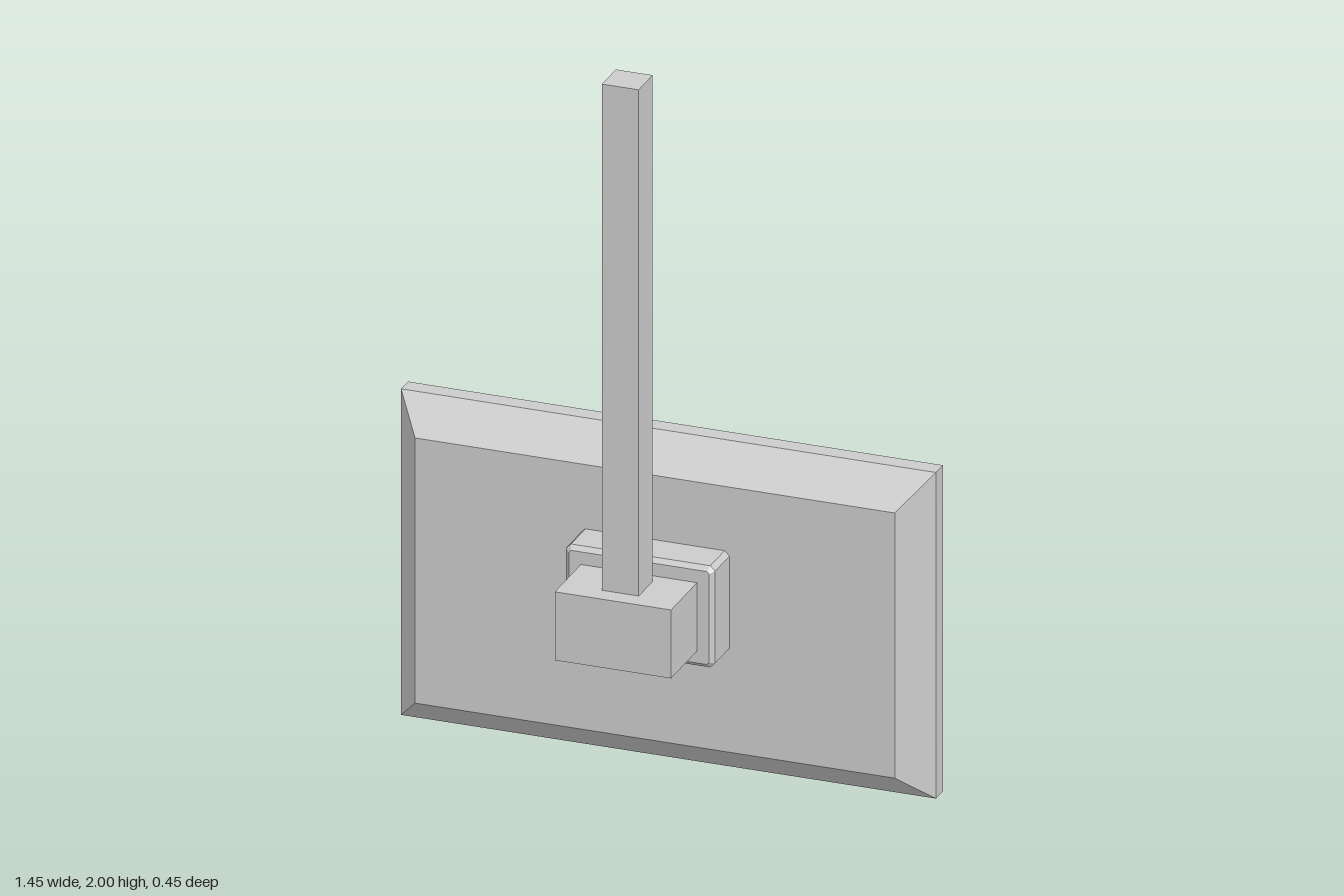
import * as THREE from 'three';

const grey = () => new THREE.MeshStandardMaterial({ color: 0xcccccc, flatShading: true });

function add(group, name, geometry, material, x, y, z) {
  const mesh = new THREE.Mesh(geometry, material);
  mesh.name = name;
  mesh.position.set(x, y, z);
  group.add(mesh);
  return mesh;
}

// Skin of flat quads through rectangular rings [halfWidth, halfHeight, z]; the first ring is capped
function rectLoft(rings) {
  const corners = [[-1, -1], [1, -1], [1, 1], [-1, 1]];
  const pts = rings.map(([w, h, z]) => corners.map(([sx, sy]) => [sx * w, sy * h, z]));
  const pos = [];
  const quad = (a, b, c, d) => pos.push(...a, ...b, ...c, ...a, ...c, ...d);
  quad(...pts[0]);
  for (let k = 0; k < pts.length - 1; k++) {
    for (let i = 0; i < 4; i++) {
      const j = (i + 1) % 4;
      quad(pts[k][i], pts[k + 1][i], pts[k + 1][j], pts[k][j]);
    }
  }
  const geo = new THREE.BufferGeometry();
  geo.setAttribute('position', new THREE.Float32BufferAttribute(pos, 3));
  geo.computeVertexNormals();
  return geo;
}

// Box with every edge chamfered by c, centred on the origin
function chamferBox(w, h, d, c) {
  const x = w / 2 - c, y = h / 2 - c, k = 0.006;
  const shape = new THREE.Shape([
    [-x + k, -y], [x - k, -y], [x, -y + k], [x, y - k],
    [x - k, y], [-x + k, y], [-x, y - k], [-x, -y + k],
  ].map(([px, py]) => new THREE.Vector2(px, py)));
  const geo = new THREE.ExtrudeGeometry(shape, {
    depth: d - 2 * c, bevelEnabled: true, bevelSegments: 1, bevelSize: c, bevelThickness: c,
  });
  return geo.translate(0, 0, c - d / 2);
}

export function createModel() {
  const model = new THREE.Group();
  model.name = 'ceilingMountedDisplay';
  const midY = 0.4525;

  // Display casing: tapered shell, thin rim, and a recessed opening facing -z
  add(model, 'displayCasing', rectLoft([
    [0.652, 0.368, -0.071],
    [0.727, 0.4525, -0.167],
    [0.727, 0.4525, -0.216],
    [0.718, 0.4435, -0.225],
    [0.656, 0.3815, -0.225],
    [0.647, 0.3725, -0.216],
    [0.647, 0.3725, -0.167],
  ]), grey(), 0, midY, 0);

  // Screen panel at the bottom of the recess
  const screenMaterial = new THREE.MeshStandardMaterial({ color: 0x707070 });
  add(model, 'screen', new THREE.PlaneGeometry(1.294, 0.745), screenMaterial, 0, midY, -0.167)
    .rotation.y = Math.PI;

  // Mounting plate and the bracket block in front of it
  add(model, 'mountPlate', chamferBox(0.405, 0.282, 0.132, 0.012), grey(), 0, 0.501, -0.024);
  add(model, 'bracketBlock', new THREE.BoxGeometry(0.316, 0.19, 0.19), grey(), 0, 0.5, 0.13);

  // Square pole up to the ceiling
  add(model, 'pole', new THREE.BoxGeometry(0.1, 1.41, 0.098), grey(), 0, 1.295, 0.124);

  return model;
}
